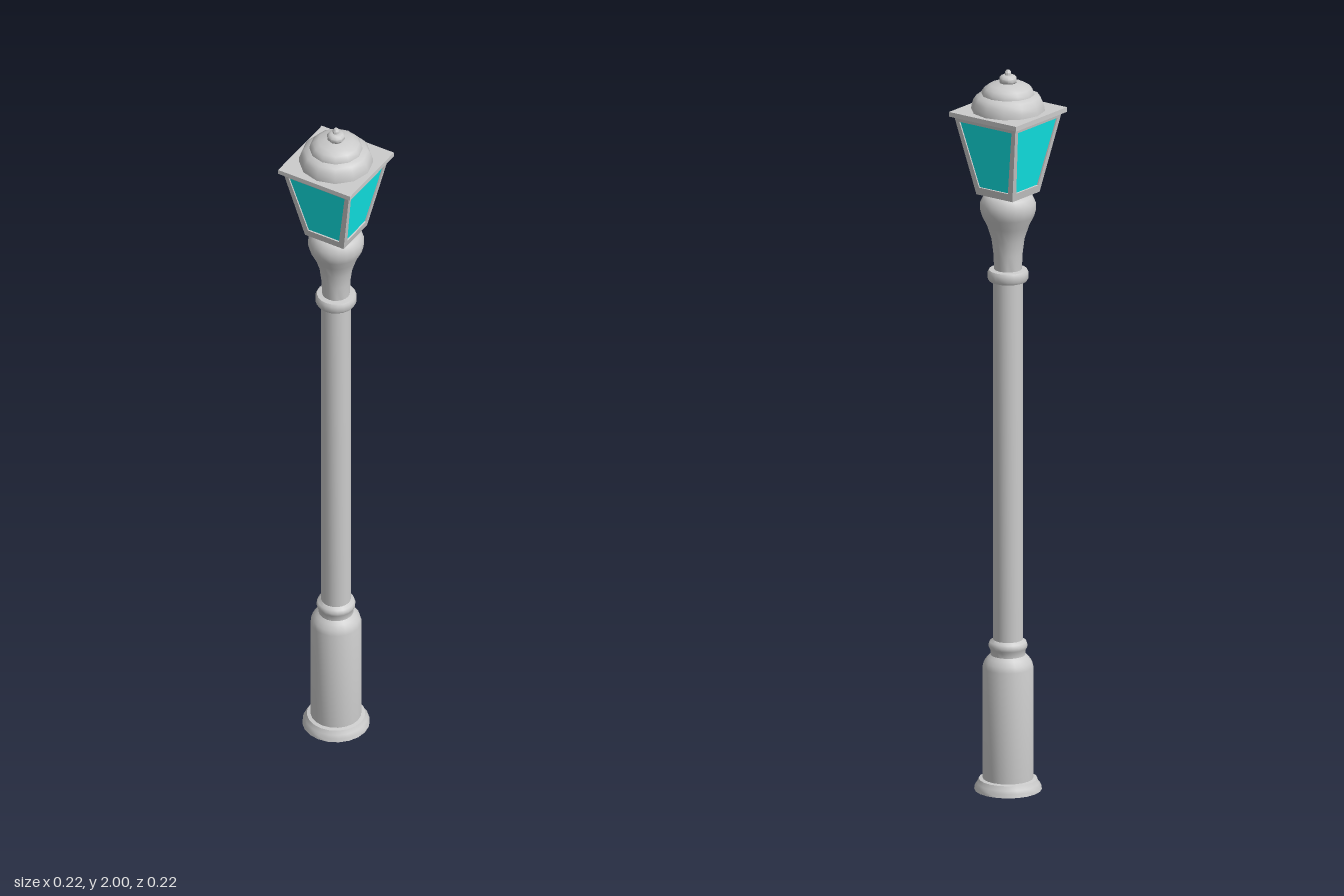
import * as THREE from 'three';
import { toCreasedNormals } from 'three/addons/utils/BufferGeometryUtils.js';

const metal = new THREE.MeshStandardMaterial({ color: 0xcccccc, side: THREE.DoubleSide });
const glass = new THREE.MeshStandardMaterial({ color: 0x12eeee, side: THREE.DoubleSide });

export function createModel() {
  const model = new THREE.Group();
  model.name = 'streetLamp';

  const add = (name, geometry, material = metal, parent = model) => {
    const mesh = new THREE.Mesh(geometry, material);
    mesh.name = name;
    parent.add(mesh);
    return mesh;
  };
  // Turned part from [radius, height] pairs, listed from bottom to top
  const turned = (name, profile, sides) => {
    const points = profile.map(([r, y]) => new THREE.Vector2(r, y));
    return add(name, toCreasedNormals(new THREE.LatheGeometry(points, sides), 0.75));
  };
  const plate = (name, half, y0, y1) => {
    const mesh = add(name, new THREE.BoxGeometry(half * 2, y1 - y0, half * 2));
    mesh.position.y = (y0 + y1) / 2;
  };

  // Post: hollow foot, thick base, collar and long shaft
  turned('base', [
    [0.09, 0], [0.089, 0.01], [0.083, 0.018], [0.078, 0.03], [0.068, 0.032],
    [0.068, 0.34], [0.064, 0.355], [0.055, 0.367], [0.047, 0.375],
  ], 20);
  turned('lowerCollar', [
    [0.047, 0.375], [0.047, 0.388], [0.051, 0.394], [0.052, 0.402],
    [0.049, 0.411], [0.04, 0.417],
  ], 20);
  turned('shaft', [[0.04, 0.41], [0.04, 1.42]], 20);
  turned('upperRing', [
    [0.04, 1.414], [0.051, 1.415], [0.055, 1.422], [0.055, 1.438],
    [0.051, 1.445], [0.036, 1.447],
  ], 20);
  turned('flaredNeck', [
    [0.037, 1.445], [0.039, 1.49], [0.044, 1.53], [0.056, 1.567], [0.07, 1.595],
    [0.075, 1.613], [0.074, 1.632], [0.066, 1.649], [0.056, 1.657], [0, 1.657],
  ], 20);

  // Lantern: four leaning frames with recessed panes
  const y0 = 1.657, y1 = 1.876, low = 0.06, high = 0.102;
  const lean = Math.atan2(high - low, y1 - y0);
  const slant = Math.hypot(high - low, y1 - y0);
  const trapezoid = (bottom, top, a, b) => [
    [-bottom, a], [bottom, a], [top, b], [-top, b],
  ].map(([x, y]) => new THREE.Vector2(x, y));
  const opening = trapezoid(0.048, 0.087, 0.022, slant - 0.013);
  const frame = new THREE.Shape(trapezoid(low, high, 0, slant));
  frame.holes.push(new THREE.Path(opening));
  const frameGeometry = new THREE.ExtrudeGeometry(frame, { depth: 0.007, bevelEnabled: false });
  frameGeometry.translate(0, 0, -0.007);
  const paneGeometry = new THREE.ShapeGeometry(new THREE.Shape(opening));
  paneGeometry.translate(0, 0, -0.004);
  for (let i = 0; i < 4; i++) {
    const side = new THREE.Group();
    side.name = 'lanternSide';
    side.rotation.y = i * Math.PI / 2;
    const panel = new THREE.Group();
    panel.name = 'leaningPanel';
    panel.position.set(0, y0, low);
    panel.rotation.x = lean;
    add('frame', frameGeometry, metal, panel);
    add('glassPane', paneGeometry, glass, panel);
    side.add(panel);
    model.add(side);
  }
  plate('lanternFloor', 0.059, 1.657, 1.667);
  plate('roofPlate', 0.112, 1.876, 1.889);

  // Stepped dome and finial
  turned('dome', [
    [0.099, 1.886], [0.098, 1.9], [0.093, 1.915], [0.085, 1.927], [0.071, 1.933],
    [0.069, 1.942], [0.062, 1.951], [0.048, 1.96], [0.023, 1.965],
  ], 12);
  turned('finial', [
    [0.019, 1.962], [0.024, 1.968], [0.024, 1.977], [0.018, 1.984],
    [0.009, 1.986], [0.009, 1.993], [0.005, 1.999], [0, 2],
  ], 10);

  return model;
}
